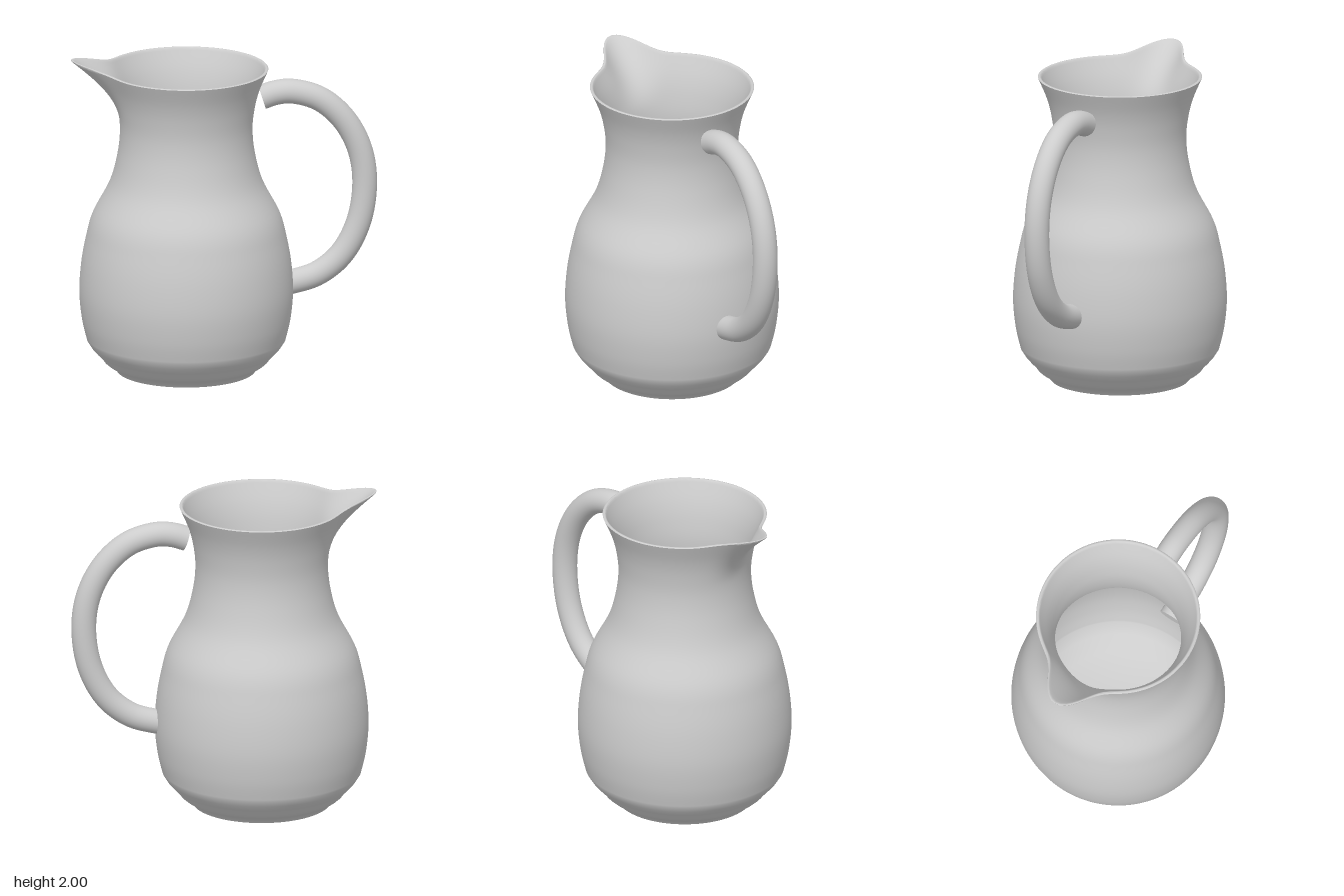
import * as THREE from 'three';
import { mergeVertices, toCreasedNormals } from 'three/addons/utils/BufferGeometryUtils.js';

const AXIS_X = -0.235; // the jug's own axis, offset to make room for the handle
const WALL = 0.02;
const V = (x, y) => new THREE.Vector2(x, y);

// Smooth side wall, from the shoulder above the foot up to the rim
function wallPoints() {
  return new THREE.SplineCurve([
    V(0.615, 0.2), V(0.645, 0.33), V(0.661, 0.5), V(0.65, 0.68), V(0.62, 0.85),
    V(0.578, 1.0), V(0.475, 1.2), V(0.426, 1.38), V(0.41, 1.54), V(0.424, 1.68),
    V(0.455, 1.8), V(0.508, 1.926),
  ]).getPoints(66);
}

// Pull the rim out and up into a spout on the -x side
function pullSpout(geometry) {
  const p = geometry.attributes.position;
  for (let i = 0; i < p.count; i++) {
    const x = p.getX(i), y = p.getY(i), z = p.getZ(i);
    const r = Math.hypot(x, z);
    if (y < 1.6 || r < 0.01) continue;
    const angle = THREE.MathUtils.radToDeg(Math.atan2(z, -x));
    const height = Math.pow((y - 1.6) / 0.33, 2.2);
    const out = 0.212 * height * Math.exp(-0.5 * (angle / 10.5) ** 2);
    const up = 0.07 * height * Math.exp(-0.5 * (angle / 12) ** 2);
    p.setXYZ(i, x * (1 + out / r), y + up, z * (1 + out / r));
  }
}

function createBody(material) {
  const wall = wallPoints();
  const foot = [
    V(0, 0), V(0.43, 0), V(0.445, 0.02), V(0.47, 0.04), V(0.495, 0.055),
    V(0.512, 0.07), V(0.53, 0.095), V(0.56, 0.125), V(0.59, 0.16),
  ];
  const rim = [V(0.504, 1.93), V(0.498, 1.931), V(0.492, 1.93)];
  const inside = wall.slice().reverse().map((q) => V(q.x - WALL, q.y));
  const floor = [V(0.54, 0.13), V(0.45, 0.06), V(0, 0.05)];

  let geometry = new THREE.LatheGeometry([...foot, ...wall, ...rim, ...inside, ...floor], 144);
  pullSpout(geometry);
  geometry.deleteAttribute('uv');
  geometry.deleteAttribute('normal');
  geometry = toCreasedNormals(mergeVertices(geometry, 1e-5), 0.75);
  const body = new THREE.Mesh(geometry, material);
  body.name = 'body';
  body.position.x = AXIS_X;
  return body;
}

function createHandle(material) {
  const handle = new THREE.Group();
  handle.name = 'handle';
  const radius = 0.077;
  const path = new THREE.CatmullRomCurve3([
    [0.235, 1.733], [0.32, 1.76], [0.42, 1.767], [0.59, 1.716], [0.737, 1.588], [0.838, 1.4],
    [0.873, 1.18], [0.835, 0.92], [0.728, 0.715], [0.58, 0.595], [0.42, 0.545], [0.36, 0.535],
  ].map(([x, y]) => new THREE.Vector3(x, y, 0)));
  const grip = new THREE.Mesh(new THREE.TubeGeometry(path, 80, radius, 32), material);
  grip.name = 'handleGrip';
  handle.add(grip);

  // Flat discs closing both ends of the grip
  for (const t of [0, 1]) {
    const cap = new THREE.Mesh(new THREE.CircleGeometry(radius, 32), material);
    cap.name = t ? 'handleLowerEnd' : 'handleUpperEnd';
    cap.position.copy(path.getPointAt(t));
    const outward = path.getTangentAt(t).multiplyScalar(t ? 1 : -1);
    cap.quaternion.setFromUnitVectors(new THREE.Vector3(0, 0, 1), outward);
    handle.add(cap);
  }
  return handle;
}

export function createModel() {
  const ceramic = new THREE.MeshStandardMaterial({ color: 0xcccccc });
  ceramic.name = 'light grey ceramic';
  const jug = new THREE.Group();
  jug.name = 'jug';
  jug.add(createBody(ceramic), createHandle(ceramic));
  return jug;
}
